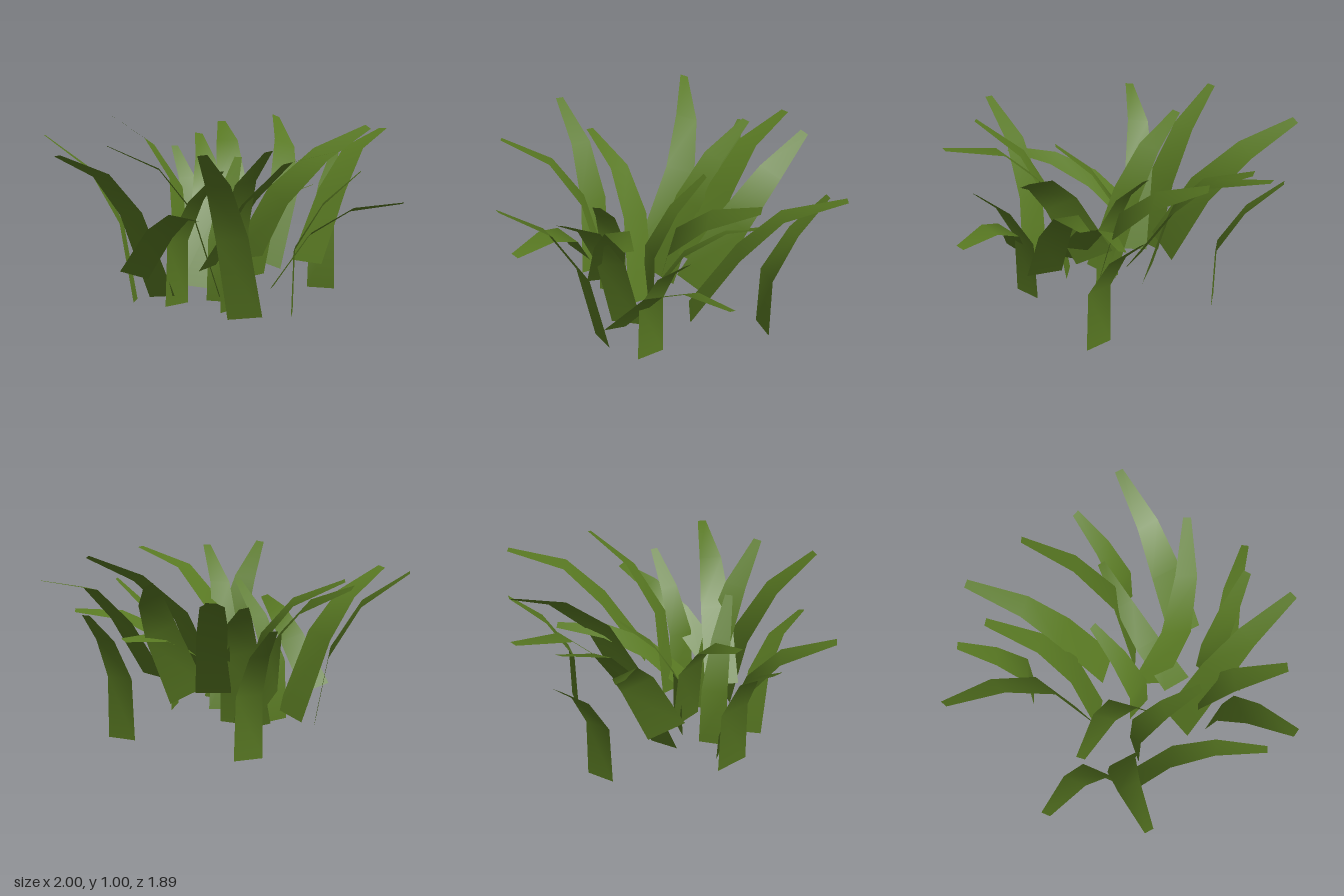
import * as THREE from 'three';

// Blade kinds: stations along the spine as [reach, height, sideways bend, width],
// and the across direction as [right, heading, up].
const KINDS = {
  shortBlade: {
    spine: [[0, 0, 0, 0.165], [0.01, 0.36, 0, 0.15], [0.16, 0.61, 0, 0.11], [0.355, 0.79, 0, 0.045]],
    across: [1, 0, 0],
  },
  lowArchingBlade: {
    spine: [[0, 0.185, 0, 0.167], [0.23, 0.45, -0.05, 0.15], [0.47, 0.575, -0.045, 0.11], [0.75, 0.605, 0, 0.045]],
    across: [0.93, -0.185, 0.32],
  },
  uprightBlade: {
    spine: [[0, 0.012, 0, 0.19], [0.09, 0.45, 0.035, 0.175], [0.27, 0.75, 0.033, 0.13], [0.53, 0.94, 0, 0.05]],
    across: [0.97, 0.22, -0.125],
  },
  bentBlade: {
    spine: [[0, 0.04, 0, 0.2], [0.17, 0.52, 0.05, 0.175], [0.36, 0.75, 0.047, 0.13], [0.65, 0.88, 0, 0.05]],
    across: [0.95, 0.24, -0.185],
  },
  longBlade: {
    spine: [[0, 0.25, 0, 0.2], [0.25, 0.63, 0, 0.18], [0.47, 0.85, 0, 0.13], [0.8, 0.94, 0, 0.05]],
    across: [1, 0, 0],
  },
  tallTwistedBlade: {
    spine: [[0, 0.2, 0, 0.23], [0.2, 0.62, 0.1, 0.19], [0.45, 0.85, 0.08, 0.14], [0.74, 0.99, 0, 0.05]],
    across: [0.81, 0.43, -0.39],
  },
};

// Each blade: root x, z and tip x, z
const BLADES = {
  shortBlade: [
    [-0.455, -0.32, -0.78, -0.485], [0.303, -0.56, 0.17, -0.9], [0.545, 0.08, 0.85, -0.11],
    [0.055, 0.09, -0.07, -0.235], [-0.09, 0.3, 0.28, 0.365],
  ],
  lowArchingBlade: [
    [-0.225, 0.505, 0.465, 0.8], [0.55, 0.275, 0.985, -0.33], [0.3, 0.11, 0.19, -0.63],
  ],
  uprightBlade: [
    [-0.3, 0.415, -0.79, 0.625], [0.43, 0.35, 0.56, 0.86], [0.26, 0.215, 0.71, 0.525],
  ],
  bentBlade: [
    [-0.175, 0.33, -0.36, 0.94], [0.08, 0.13, -0.49, 0.43], [-0.175, 0.02, -0.59, -0.5],
  ],
  longBlade: [
    [0.165, 0.34, 0.955, 0.18], [-0.025, -0.155, -0.59, -0.73], [0.49, -0.135, 0.48, -0.95],
  ],
  tallTwistedBlade: [
    [-0.27, 0.04, -0.995, -0.14], [0.17, -0.165, -0.21, -0.8], [0.15, 0.03, 0.66, -0.485],
  ],
};

// Tapered ribbon through the stations, stretched from root to tip
function bladeGeometry({ spine, across }, [rx, rz, tx, tz]) {
  const root = new THREE.Vector3(rx, 0, rz);
  const heading = new THREE.Vector3(tx - rx, 0, tz - rz);
  const stretch = heading.length() / spine[spine.length - 1][0];
  heading.normalize();
  const up = new THREE.Vector3(0, 1, 0);
  const right = new THREE.Vector3().crossVectors(heading, up);
  const side = new THREE.Vector3()
    .addScaledVector(right, across[0])
    .addScaledVector(heading, across[1])
    .addScaledVector(up, across[2])
    .normalize();
  const positions = [];
  const index = [];
  spine.forEach(([reach, height, bend, width], i) => {
    const centre = root.clone()
      .addScaledVector(heading, reach * stretch)
      .addScaledVector(right, bend)
      .addScaledVector(up, height);
    for (const s of [-0.5, 0.5]) {
      positions.push(...centre.clone().addScaledVector(side, s * width).toArray());
    }
    if (i > 0) {
      const a = 2 * i - 2;
      index.push(a, a + 1, a + 3, a, a + 3, a + 2);
    }
  });
  const geometry = new THREE.BufferGeometry();
  geometry.setAttribute('position', new THREE.Float32BufferAttribute(positions, 3));
  geometry.setIndex(index);
  geometry.computeVertexNormals();
  return geometry;
}

export function createModel() {
  const model = new THREE.Group();
  model.name = 'grassTuft';
  const green = new THREE.MeshStandardMaterial({ color: 0x587822, side: THREE.DoubleSide });
  green.name = 'grassGreen';

  for (const [kind, list] of Object.entries(BLADES)) {
    list.forEach((ends, i) => {
      const blade = new THREE.Mesh(bladeGeometry(KINDS[kind], ends), green);
      blade.name = `${kind}${i + 1}`;
      model.add(blade);
    });
  }
  return model;
}
